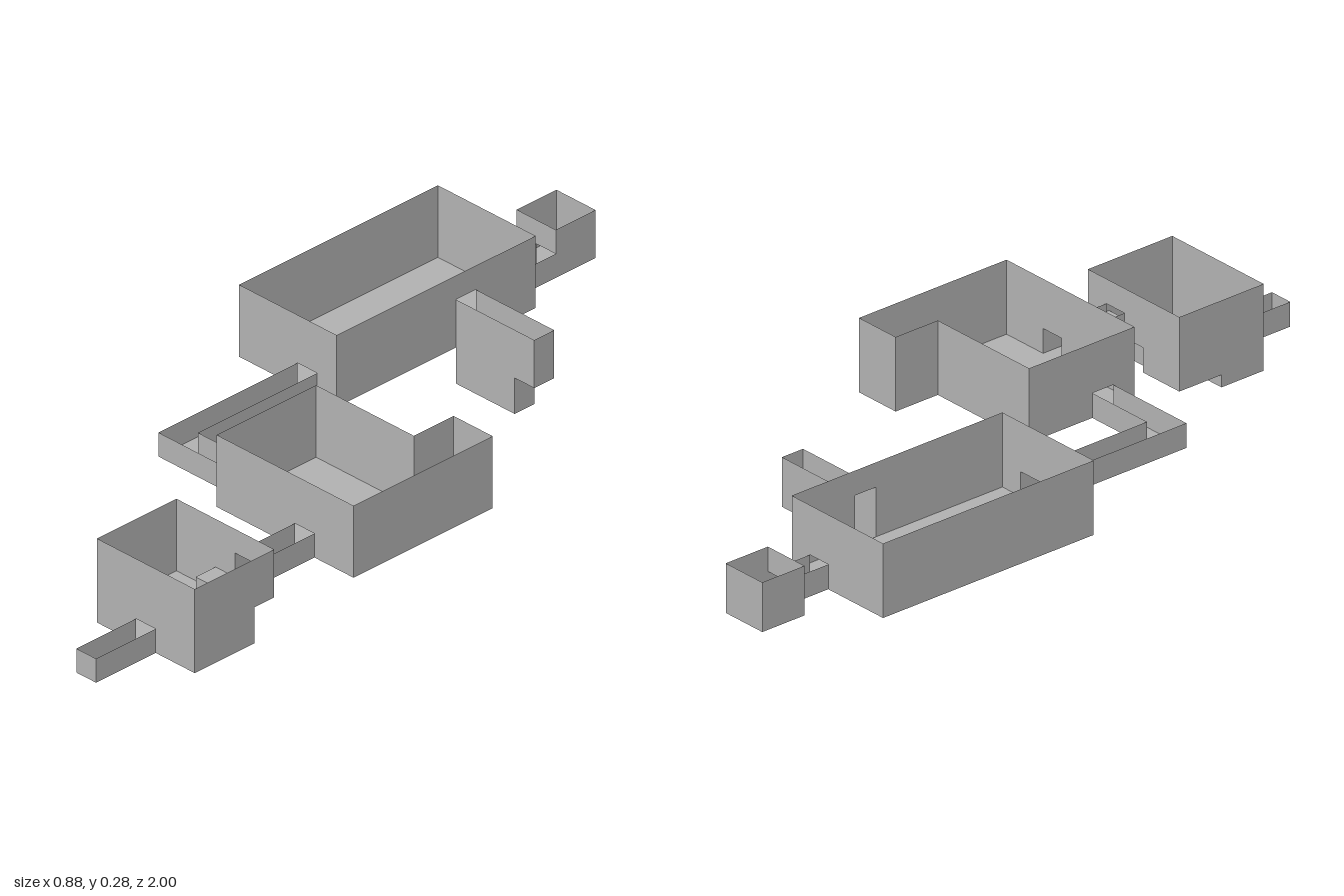
import * as THREE from 'three';
import { mergeGeometries } from 'three/addons/utils/BufferGeometryUtils.js';

const U = 1 / 16; // size of one grid cell

// Floor areas in cells: name, x0, x1, z0, z1, floor height, wall top
const AREAS = [
  ['northAlcove', -5, -3, -16, -14, 1.5, 3.5],
  ['northPassage', -4, -3, -14, -12, 1.5, 2.5],
  ['greatHall', -7, -2, -12, -2, 1.5, 4.5],
  ['sunkenPassage', -2, 1, -9, -8, 0, 3.5],
  ['sunkenPassageLedge', 1, 2, -9, -8, 1.5, 3.5],
  ['linkPassage', -4, -3, -2, 4, 1.5, 2.5],
  ['linkPassageTurn', -4, 0, 4, 5, 1.5, 2.5],
  ['middleRoom', 0, 7, 1, 6, 1.5, 4.5],
  ['middleRoomAlcove', 5, 7, -1, 1, 1.5, 4.5],
  ['southPassage', 4, 5, 6, 9, 1.5, 2.5],
  ['stairLanding', 3, 6, 9, 10, 1.5, 3.5],
  ['stepUpper', 1, 3, 9, 10, 0.5, 3.5],
  ['stepLower', 1, 2, 10, 11, 0.5, 3.5],
  ['lowerRoomBack', 2, 6, 10, 11, 0, 3.5],
  ['lowerRoom', 1, 6, 11, 13, 0, 3.5],
  ['entrancePassage', 3, 4, 13, 16, 0, 1],
].map(([name, x0, x1, z0, z1, floor, top]) => ({ name, x0, x1, z0, z1, floor, top }));

const areaAt = (x, z) => AREAS.find(a => x > a.x0 && x < a.x1 && z > a.z0 && z < a.z1);

// Upright panel between two plan points, front facing the right of the run
function panel([xa, za], [xb, zb], low, high) {
  const g = new THREE.PlaneGeometry(Math.hypot(xb - xa, zb - za) * U, (high - low) * U);
  g.rotateY(-Math.atan2(zb - za, xb - xa));
  return g.translate((xa + xb) / 2 * U, (low + high) / 2 * U, (za + zb) / 2 * U);
}

function floorPanel(a) {
  return new THREE.PlaneGeometry((a.x1 - a.x0) * U, (a.z1 - a.z0) * U)
    .rotateX(-Math.PI / 2)
    .translate((a.x0 + a.x1) / 2 * U, a.floor * U, (a.z0 + a.z1) / 2 * U);
}

// Walls along one side; openings are left where another area adjoins
function sideWalls(a, start, end) {
  const out = [];
  const n = Math.abs(end[0] - start[0]) + Math.abs(end[1] - start[1]);
  const dx = (end[0] - start[0]) / n, dz = (end[1] - start[1]) / n;
  const point = i => [start[0] + dx * i, start[1] + dz * i];
  const neighbour = i => {
    const [x, z] = point(i + 0.5);
    return areaAt(x - dz * 0.5, z + dx * 0.5);
  };
  for (let i = 0; i < n;) {
    const other = neighbour(i);
    let j = i + 1;
    while (j < n && neighbour(j) === other) j++;
    const bands = other
      ? [[a.floor, other.floor], [other.top, a.top]] // riser below, lintel above
      : [[a.floor, a.top]];
    for (const [low, high] of bands) {
      if (high > low) out.push(panel(point(i), point(j), low, high));
    }
    i = j;
  }
  return out;
}

export function createModel() {
  const model = new THREE.Group();
  model.name = 'roomComplex';
  const stone = new THREE.MeshStandardMaterial({ color: 0xb0b0b0, side: THREE.DoubleSide });
  stone.name = 'stone grey';

  for (const a of AREAS) {
    const group = new THREE.Group();
    group.name = a.name;

    const floor = new THREE.Mesh(floorPanel(a), stone);
    floor.name = 'floor';
    group.add(floor);

    // Outline runs so that the outside lies on its right
    const corners = [[a.x0, a.z1], [a.x1, a.z1], [a.x1, a.z0], [a.x0, a.z0]];
    const panels = corners.flatMap((c, i) => sideWalls(a, c, corners[(i + 1) % 4]));
    if (panels.length) {
      const walls = new THREE.Mesh(mergeGeometries(panels), stone);
      walls.name = 'walls';
      group.add(walls);
    }
    model.add(group);
  }
  return model;
}
